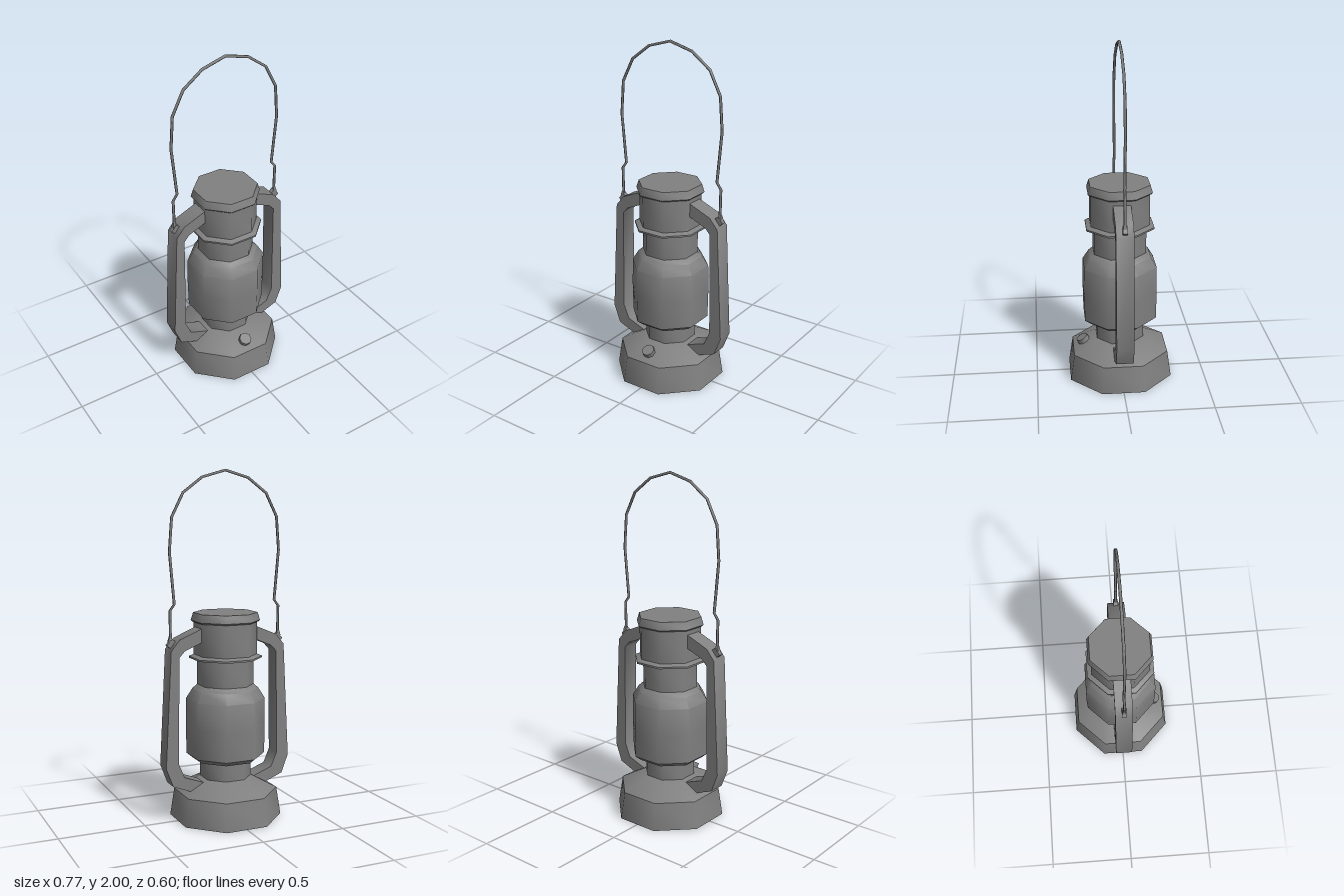
import * as THREE from 'three';
import { toCreasedNormals } from 'three/addons/utils/BufferGeometryUtils.js';

const material = new THREE.MeshStandardMaterial({ color: 0x808080 });

function addMesh(parent, name, geometry) {
  const mesh = new THREE.Mesh(geometry, material);
  mesh.name = name;
  parent.add(mesh);
  return mesh;
}

// Smooth around the eight sides, sharp at the rims
const creased = (geometry) => toCreasedNormals(geometry, THREE.MathUtils.degToRad(47));

// Eight-sided turned body; profile gives [distance to flat, height], bottom to top
function octagonLathe(profile) {
  const points = profile.map(([r, y]) => new THREE.Vector2(r / Math.cos(Math.PI / 8), y));
  return creased(new THREE.LatheGeometry(points, 8, Math.PI / 8));
}

// Straight-segment path with mitred corners
class Polyline extends THREE.Curve {
  constructor(points) {
    super();
    this.points = points;
  }
  getPoint(t, target = new THREE.Vector3()) {
    const n = this.points.length - 1;
    const i = Math.min(Math.floor(t * n + 1e-9), n - 1);
    return target.lerpVectors(this.points[i], this.points[i + 1], t * n - i);
  }
  getPointAt(t, target) { return this.getPoint(t, target); }
  getTangentAt(t, target) { return this.getTangent(t, target); }
}

export function createModel() {
  const model = new THREE.Group();
  model.name = 'lantern';

  // Fuel tank and burner neck
  addMesh(model, 'base', octagonLathe([[0, 0], [0.3, 0], [0.277, 0.16], [0.137, 0.238], [0, 0.238]]));
  addMesh(model, 'burnerNeck', octagonLathe([[0.137, 0.22], [0.137, 0.36]]));

  // Glass globe and the collar above it
  addMesh(model, 'glassGlobe', octagonLathe([
    [0, 0.345], [0.178, 0.345], [0.209, 0.372], [0.212, 0.54], [0.209, 0.70], [0.176, 0.757],
  ]));
  addMesh(model, 'globeCollar', octagonLathe([[0.176, 0.757], [0.15, 0.782]]));

  // Chimney with flange and cap
  addMesh(model, 'chimney', octagonLathe([
    [0.15, 0.77], [0.15, 0.935], [0.194, 0.935], [0.194, 0.945], [0.168, 0.957], [0.168, 1.15],
  ]));
  addMesh(model, 'cap', octagonLathe([
    [0, 1.143], [0.174, 1.143], [0.183, 1.152], [0.17, 1.197], [0, 1.197],
  ]));

  // Side frame and handle lugs: built for +x and turned half way round for -x
  const frameOutline = [
    [0.15, 1.123], [0.3, 1.06], [0.35, 1.0], [0.386, 0.33], [0.345, 0.222], [0.2, 0.165],
    [0.16, 0.225], [0.275, 0.268], [0.31, 0.35], [0.302, 0.96], [0.27, 0.995], [0.15, 1.045],
  ];
  const frameShape = new THREE.Shape(frameOutline.map(([x, y]) => new THREE.Vector2(x, y)));
  const frameGeometry = creased(new THREE.ExtrudeGeometry(frameShape, { depth: 0.1, bevelEnabled: false }));
  frameGeometry.translate(0, 0, -0.05);
  for (const [side, turn] of [['left', 0], ['right', Math.PI]]) {
    const arm = new THREE.Group();
    arm.name = side + 'Arm';
    arm.rotation.y = turn;
    model.add(arm);
    addMesh(arm, side + 'FrameTube', frameGeometry);
    const lug = addMesh(arm, side + 'HandleLug', new THREE.BoxGeometry(0.048, 0.03, 0.026));
    lug.position.set(0.334, 1.036, 0);
    lug.rotation.z = -0.85;
    const eye = addMesh(arm, side + 'HandleEye',
      creased(new THREE.CylinderGeometry(0.009, 0.018, 0.03, 4, 1, false, Math.PI / 4)));
    eye.position.set(0.337, 1.06, 0);
  }

  // Wire carrying handle
  const half = [
    [0.335, 1.03], [0.337, 1.22], [0.311, 1.255], [0.337, 1.545],
    [0.322, 1.735], [0.254, 1.868], [0.14, 1.953],
  ];
  const path = [...half, [0, 1.992], ...half.map(([x, y]) => [-x, y]).reverse()]
    .map(([x, y]) => new THREE.Vector3(x, y, 0));
  addMesh(model, 'wireHandle', new THREE.TubeGeometry(new Polyline(path), path.length - 1, 0.008, 6, false));

  // Filler knob on the sloping front of the tank
  const knob = addMesh(model, 'fillerKnob',
    creased(new THREE.CylinderGeometry(0.037, 0.037, 0.06, 8, 1, false, Math.PI / 8)));
  knob.position.set(0, 0.193, 0.212);
  knob.rotation.x = 0.515;

  return model;
}
